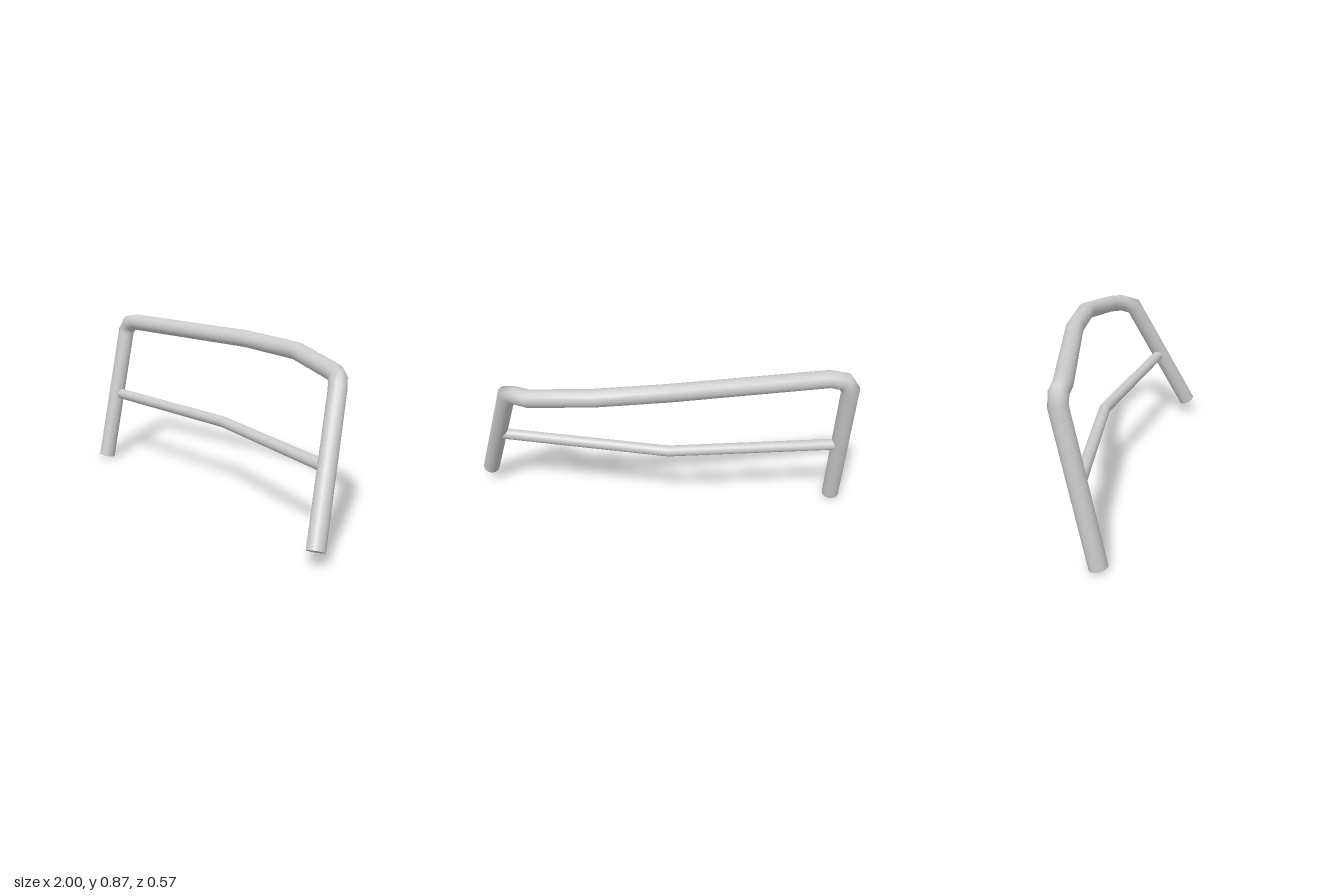
import * as THREE from 'three';

// Round pipe along a polyline, with true mitred joints and flat end caps
function pipe(name, coords, radius, sides = 16) {
  const pts = coords.map((c) => new THREE.Vector3(...c));
  const dirs = pts.slice(1).map((p, i) => p.clone().sub(pts[i]).normalize());
  const last = pts.length - 1;

  // First ring, square to the first segment
  const u = new THREE.Vector3(0, 0, 1).cross(dirs[0]).normalize();
  const v = dirs[0].clone().cross(u);
  const rings = [[]];
  for (let j = 0; j < sides; j++) {
    const a = (j / sides) * Math.PI * 2;
    rings[0].push(pts[0].clone().addScaledVector(u, radius * Math.cos(a)).addScaledVector(v, radius * Math.sin(a)));
  }
  // Slide each ring along its segment onto the next mitre plane
  for (let i = 1; i <= last; i++) {
    const d = dirs[i - 1];
    const n = i < last ? d.clone().add(dirs[i]).normalize() : d;
    rings.push(rings[i - 1].map((p) => {
      const t = pts[i].clone().sub(p).dot(n) / d.dot(n);
      return p.clone().addScaledVector(d, t);
    }));
  }

  const pos = [];
  const index = [];
  const add = (p) => pos.push(p.x, p.y, p.z) / 3 - 1;
  rings.forEach((ring) => ring.forEach(add));
  for (let i = 0; i < last; i++) {
    for (let j = 0; j < sides; j++) {
      const k = (j + 1) % sides;
      const a = i * sides + j, b = i * sides + k;
      index.push(a, b, b + sides, a, b + sides, a + sides);
    }
  }
  // End caps with their own vertices, so the rims stay sharp
  for (const end of [0, last]) {
    const c = add(pts[end]);
    rings[end].forEach(add);
    for (let j = 0; j < sides; j++) {
      const a = c + 1 + j, b = c + 1 + ((j + 1) % sides);
      if (end === 0) index.push(c, b, a);
      else index.push(c, a, b);
    }
  }

  const geo = new THREE.BufferGeometry();
  geo.setAttribute('position', new THREE.Float32BufferAttribute(pos, 3));
  geo.setIndex(index);
  geo.computeVertexNormals();
  const mesh = new THREE.Mesh(geo, new THREE.MeshStandardMaterial({ color: 0xcccccc }));
  mesh.name = name;
  return mesh;
}

export function createModel() {
  const group = new THREE.Group();
  group.name = 'tubularHandrail';

  // Bent main hoop: one leg, top rail, other leg
  group.add(pipe('mainHoop', [
    [-0.955, 0.011, 0.105],
    [-0.955, 0.758, -0.059],
    [-0.922, 0.807, -0.065],
    [-0.85, 0.822, -0.065],
    [-0.05, 0.822, -0.217],
    [0.31, 0.808, -0.245],
    [0.636, 0.764, -0.177],
    [0.705, 0.754, -0.128],
    [0.762, 0.722, -0.066],
    [0.955, 0.08, 0.242],
  ], 0.045));

  // Thinner cross bar, kinked in the middle
  group.add(pipe('crossBar', [
    [-0.92, 0.388, 0.014],
    [-0.05, 0.39, -0.064],
    [0.835, 0.404, 0.076],
  ], 0.029));

  return group;
}
